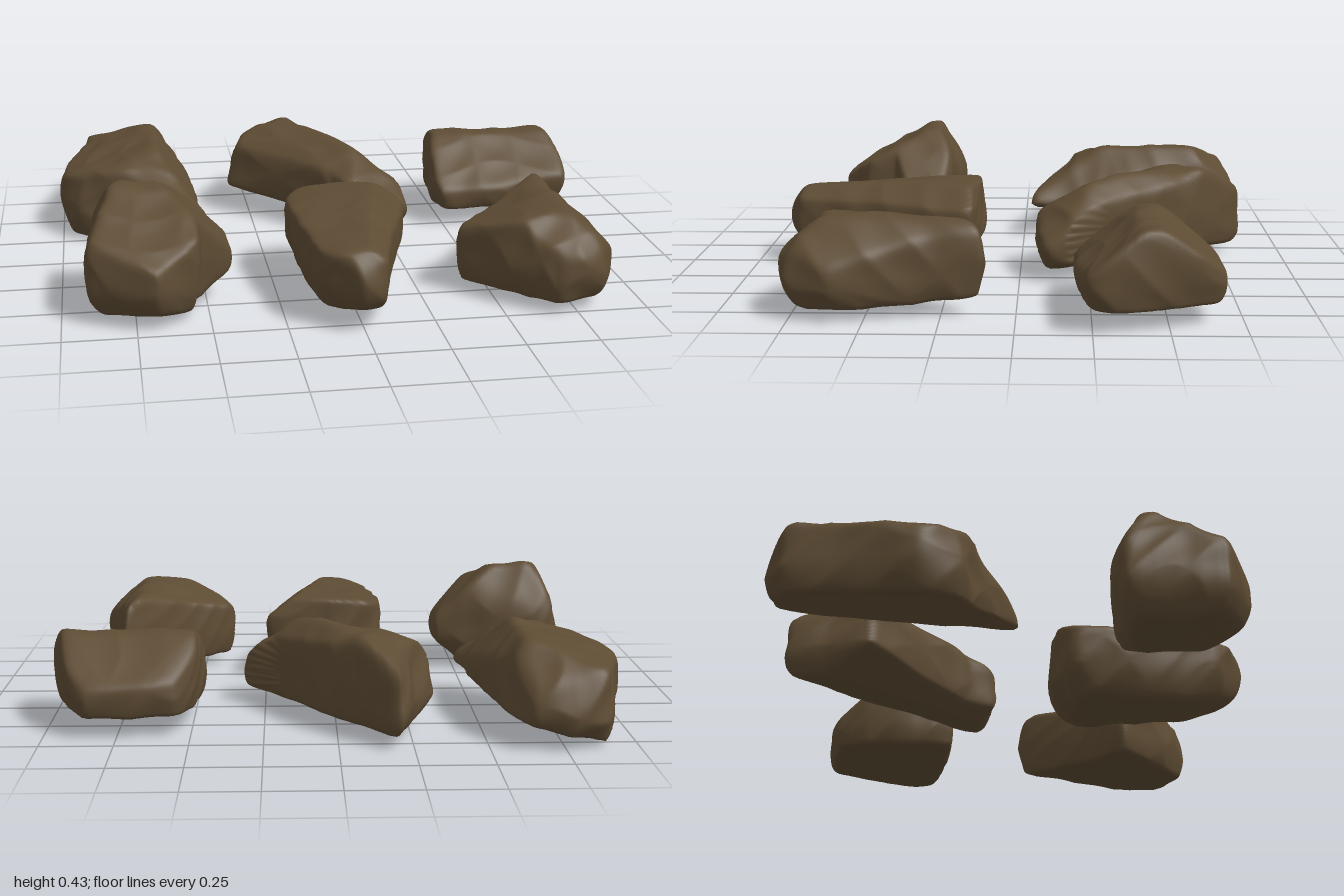
import * as THREE from 'three';
import { mergeVertices } from 'three/addons/utils/BufferGeometryUtils.js';

// Closed plan outline from a few x, z pairs, with slightly worn corners
function planOutline(coords) {
  const corners = [];
  for (let i = 0; i < coords.length; i += 2) corners.push(new THREE.Vector3(coords[i], 0, coords[i + 1]));
  return new THREE.CatmullRomCurve3(corners, true, 'catmullrom', 0.2).getPoints(corners.length * 6);
}

// Distance from the centre to the outline along a plan direction
function outlineReach(outline, c, dx, dz) {
  let best = 0.02;
  for (let i = 0; i + 1 < outline.length; i++) {
    const ax = outline[i].x - c.x, az = outline[i].z - c.z;
    const ex = outline[i + 1].x - outline[i].x, ez = outline[i + 1].z - outline[i].z;
    const det = dx * ez - dz * ex;
    if (Math.abs(det) < 1e-9) continue;
    const t = (ax * ez - az * ex) / det, s = (ax * dz - az * dx) / det;
    if (s >= -1e-6 && s <= 1 + 1e-6) best = Math.max(best, t);
  }
  return best;
}

// Smooth lumps with a finer ridged layer for weathered stone
function roughness(x, y, z, seed) {
  const wx = x + 0.05 * Math.sin(13 * z + seed), wz = z + 0.05 * Math.sin(11 * x + 2 * seed);
  const lump = Math.sin(15 * wx + seed) * Math.sin(17 * y + 3 * seed + 6 * wx) + Math.sin(14 * wz + 2 * seed + 9 * y);
  const ridge = 1 - 2 * Math.abs(Math.sin(19 * wx + 13 * y + seed) * Math.sin(18 * wz - 15 * y + seed));
  return 0.018 * lump + 0.018 * ridge;
}

// A rock is a ball pushed out to its plan outline, floor, cap and sloping facets.
// Each facet is [height at the plan centre, slope along x, slope along z];
// facets above the waist trim the top, those below it trim the underside.
function rockGeometry(coords, [bottom, waist, top], facets, seed) {
  const outline = planOutline(coords);
  const box = new THREE.Box3().setFromPoints(outline);
  const c = box.getCenter(new THREE.Vector3()).setY(waist);
  const size = box.getSize(new THREE.Vector3());
  const planes = [...facets, [top, 0, 0], [bottom, 0, 0]];

  const ball = new THREE.IcosahedronGeometry(1, 28);
  ball.deleteAttribute('normal');
  ball.deleteAttribute('uv');
  const geo = mergeVertices(ball, 1e-5);
  const pos = geo.attributes.position, d = new THREE.Vector3();

  for (let i = 0; i < pos.count; i++) {
    d.fromBufferAttribute(pos, i);
    d.set(d.x * size.x, d.y * 0.4, d.z * size.z).normalize();
    const flat = Math.max(Math.hypot(d.x, d.z), 1e-6);
    const reach = outlineReach(outline, c, d.x / flat, d.z / flat);
    // Walls curve in above the waist, and more strongly underneath
    const limits = [1 / Math.hypot(flat / reach, d.y / (d.y > 0 ? 0.45 : 0.24))];
    for (const [h, a, b] of planes) {
      const k = (d.y - a * d.x - b * d.z) / (h - waist);
      if (k > 1e-4) limits.push(1 / k);
    }
    // Soft minimum keeps the facets while wearing their edges
    const near = Math.min(...limits);
    let r = near * Math.pow(limits.reduce((s, t) => s + Math.pow(near / t, 24), 0), -1 / 24);
    r *= 1 + roughness(d.x * r, d.y * r, d.z * r, seed);
    pos.setXYZ(i, c.x + d.x * r, c.y + d.y * r, c.z + d.z * r);
  }
  geo.computeVertexNormals();
  return geo;
}

export function createModel() {
  const group = new THREE.Group();
  group.name = 'rocks';
  const stone = new THREE.MeshStandardMaterial({ color: 0x5e4c34 });
  stone.name = 'brown stone';

  function addRock(name, coords, heights, facets) {
    const seed = 1.7 * group.children.length + 0.6;
    const mesh = new THREE.Mesh(rockGeometry(coords, heights, facets, seed), stone);
    mesh.name = name;
    group.add(mesh);
  }

  // Broad slab with a ridge right of centre
  addRock('backRightLongRock',
    [-0.9, -0.82, -0.78, -0.87, -0.64, -0.85, -0.56, -0.7, -0.45, -0.05, -0.52, -0.04, -0.76, -0.18, -0.93, -0.25, -1, -0.4],
    [0, 0.13, 0.36], [[0.33, 0.33, 0], [0.47, -1.2, 0], [0.46, 0, -0.7], [0.55, -0.2, 0.75], [0.06, 0.25, 0]]);

  // Diagonal splinter
  addRock('backMiddleSplinterRock',
    [-0.2, -0.85, 0.02, -0.6, 0.2, -0.3, 0.32, -0.19, 0.31, -0.08, 0.1, -0.05, 0.04, -0.16, -0.12, -0.33, -0.33, -0.53, -0.25, -0.69],
    [0.04, 0.14, 0.36],
    [[0.38, -0.85, 0.35], [0.38, 0.4, -0.48], [0.5, -0.44, -0.56], [0.48, 0.33, 0.4], [0.02, 0.35, -0.23], [0.02, -0.35, 0.23]]);

  // Roof-shaped wedge
  addRock('backLeftWedgeRock',
    [0.48, -0.19, 0.48, -0.54, 0.55, -0.67, 0.85, -0.69, 0.92, -0.6, 0.99, -0.36, 0.98, -0.23],
    [0.07, 0.16, 0.335], [[0.36, 0, -0.8], [0.36, 0, 0.7]]);

  // Tall peak with a steep back
  addRock('frontRightPeakRock',
    [-0.9, 0.29, -0.78, 0.26, -0.43, 0.32, -0.41, 0.47, -0.52, 0.53, -0.54, 0.64, -0.68, 0.74, -0.91, 0.62],
    [0.01, 0.17, 0.44],
    [[0.74, 0, 2], [0.37, 0, -0.6], [0.71, 1.8, 0], [0.45, -0.95, 0], [-0.04, 0.6, 0], [0, 0, 0.25]]);

  // Long block narrowing to a raised nose at the front
  addRock('frontMiddleTaperRock',
    [-0.2, 0.23, -0.15, 0.16, 0, 0.13, 0.25, 0.19, 0.15, 0.52, 0.07, 0.83, -0.02, 0.86, -0.15, 0.74],
    [0.04, 0.2, 0.33], [[0.32, 0.15, -0.06], [0.36, -0.75, -0.2], [0.54, 0, -0.8], [-0.02, 0, 0.3]]);

  // Pointed, roughly triangular rock
  addRock('frontLeftPointedRock',
    [0.78, 0.11, 0.82, 0.3, 0.9, 0.6, 0.84, 0.76, 0.68, 0.79, 0.38, 0.49, 0.54, 0.34],
    [0.04, 0.15, 0.335], [[0.325, 0.35, 0.1], [0.43, -0.9, 0], [0.5, 0, -0.85], [0.03, 0, -0.12]]);

  return group;
}
